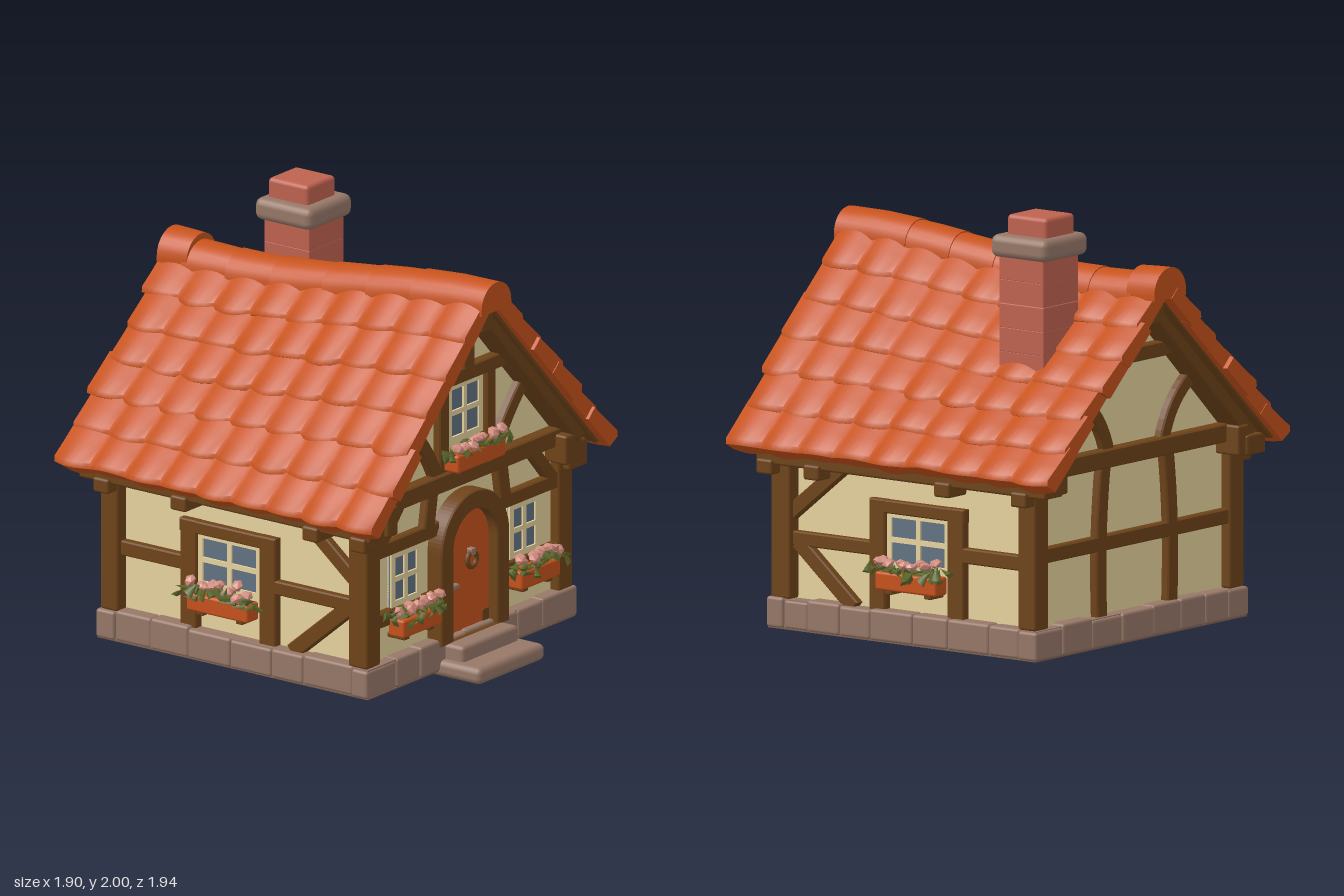
import * as THREE from 'three';
import { toCreasedNormals } from 'three/addons/utils/BufferGeometryUtils.js';
import { RoundedBoxGeometry } from 'three/addons/geometries/RoundedBoxGeometry.js';

let seed = 7;
const rnd = (a, b) => {
  seed = (seed * 16807) % 2147483647;
  return a + (b - a) * (seed / 2147483647);
};

const mats = {};
const colours = {
  terracotta: 0xc6521b, plaster: 0xfbe5ab, wood: 0x6e4319, stone: 0x967767, brick: 0xbe624f,
  glass: 0x627382, windowFrame: 0xf2dda6, leaf: 0x5f6a2c, flower: 0xd28c7e, underside: 0x7b6051,
};

function add(parent, name, geo, mat, x = 0, y = 0, z = 0) {
  const m = new THREE.Mesh(geo, mats[mat]);
  m.name = name;
  m.position.set(x, y, z);
  parent.add(m);
  return m;
}

// Softly rounded block given by its extents
function block(parent, name, mat, x0, x1, y0, y1, z0, z1, r = 0.012) {
  const geo = new RoundedBoxGeometry(x1 - x0, y1 - y0, z1 - z0, 2, r);
  return add(parent, name, geo, mat, (x0 + x1) / 2, (y0 + y1) / 2, (z0 + z1) / 2);
}

// Timber lying on a wall; three points make it curved
function beam(face, name, pts, w, d = 0.04) {
  const v = pts.map(p => new THREE.Vector2(...p));
  const curve = v.length === 3 ? new THREE.QuadraticBezierCurve(...v) : new THREE.LineCurve(...v);
  const n = v.length === 3 ? 8 : 1, a = [], b = [];
  for (let i = 0; i <= n; i++) {
    const p = curve.getPoint(i / n), t = curve.getTangent(i / n);
    const o = new THREE.Vector2(-t.y, t.x).multiplyScalar(w / 2 - 0.006);
    a.push(p.clone().add(o));
    b.unshift(p.clone().sub(o));
  }
  const geo = new THREE.ExtrudeGeometry(new THREE.Shape([...a, ...b]),
    { depth: d + 0.01, bevelThickness: 0.008, bevelSize: 0.006, bevelSegments: 1 });
  return add(face, name, geo, 'wood', 0, 0, -0.018);
}

// Skin a list of equal closed loops and cap the ends
function loft(loops) {
  const pos = [], k = loops[0].length;
  const tri = (...p) => p.forEach(q => pos.push(q.x, q.y, q.z));
  const first = loops[0], last = loops[loops.length - 1];
  for (let i = 0; i < loops.length - 1; i++) for (let j = 0; j < k; j++) {
    const a = loops[i][j], b = loops[i][(j + 1) % k], c = loops[i + 1][(j + 1) % k], d = loops[i + 1][j];
    tri(a, b, d);
    tri(b, c, d);
  }
  for (let j = 1; j < k - 1; j++) {
    tri(first[0], first[j + 1], first[j]);
    tri(last[0], last[j], last[j + 1]);
  }
  const geo = new THREE.BufferGeometry();
  geo.setAttribute('position', new THREE.Float32BufferAttribute(pos, 3));
  return toCreasedNormals(geo, 0.85);
}

// Sagging roof plane
const sag = z => 0.13 * Math.sin(Math.PI / 2 * Math.min(1, Math.max(0, (0.88 - z) / 1.47))) ** 2;
const roofY = (x, z) => 1.866 - 1.06 * x - sag(z) * (1 - Math.max(0, x - 0.1) / 0.83);

// One course of the roof; off = normal offsets of upper top, lower top, lower bottom, upper bottom
function roofCourse(parent, name, mat, side, xl, xu, z0, z1, off, bump) {
  const cols = 9, sub = 6, loops = [];
  let jut = 0, lift = 0;
  for (let i = 0; i <= cols * sub; i++) {
    if (i % sub === 0) { jut = rnd(0.1, 1); lift = rnd(0.7, 1.2); }
    const z = z0 + (z1 - z0) * i / (cols * sub);
    const s = Math.sin(Math.PI * (i % sub) / sub);
    const lo = xl + bump * (jut * s - 0.4);
    const at = (x, o) => new THREE.Vector3(side * (x + 0.727 * o), roofY(x, z) + 0.686 * o, z);
    const h = bump * lift * s;
    const loop = [at(xu, off[0] + h * 0.7), at((lo + xu) / 2, (off[0] + off[1]) / 2 + h),
      at(lo - 0.016, off[1] + h), at(lo, off[1] - 0.018 + h), at(lo - 0.012, off[2]), at(xu, off[3])];
    loops.push(side > 0 ? loop : loop.reverse());
  }
  add(parent, name, loft(loops), mat);
}

// Window with four panes
function casement(face, x, y, w, h) {
  const g = new THREE.Group();
  g.name = 'window';
  g.position.set(x, y, 0);
  face.add(g);
  add(g, 'glass', new THREE.BoxGeometry(w, h, 0.008), 'glass', 0, 0, 0.01);
  const bar = (bx, by, bw, bh) => add(g, 'windowBar', new THREE.BoxGeometry(bw, bh, 0.024), 'windowFrame', bx, by, 0.012);
  for (const s of [-1, 1]) {
    bar(s * (w / 2 - 0.014), 0, 0.028, h);
    bar(0, s * (h / 2 - 0.014), w, 0.028);
  }
  bar(0, 0, 0.024, h);
  bar(0, 0, w, 0.024);
}

// Planter with leaves and blossoms
function flowerBox(face, x, y, w) {
  const g = new THREE.Group();
  g.name = 'flowerBox';
  g.position.set(x, y, 0);
  face.add(g);
  block(g, 'planter', 'terracotta', -w / 2, w / 2, -0.04, 0.045, 0.03, 0.12);
  for (const s of [-1, 1]) block(g, 'bracket', 'wood', s * w * 0.32 - 0.02, s * w * 0.32 + 0.02, -0.06, -0.035, 0, 0.1, 0.006);
  for (let i = 0; i < 34; i++) {
    const leaf = add(g, 'leaf', new THREE.ConeGeometry(0.028, 0.07, 4), 'leaf',
      (i / 33 - 0.5) * (w + 0.05), rnd(0.03, 0.075), rnd(0.06, 0.14));
    leaf.rotation.set(rnd(-0.7, 1.9), rnd(-0.5, 0.5), rnd(-1.8, 1.8));
    leaf.scale.z = 0.45;
  }
  for (let i = 0; i < 9; i++) {
    const f = add(g, 'blossom', new THREE.IcosahedronGeometry(0.031, 0), 'flower',
      (i / 8 - 0.5) * w * 0.92, rnd(0.075, 0.115), rnd(0.07, 0.14));
    f.rotation.set(rnd(-0.4, 0.9), rnd(0, 3), rnd(-0.4, 0.4));
    f.scale.y = 0.65;
  }
}

function archShape(r, y0, spring) {
  const s = new THREE.Shape();
  s.moveTo(-r, y0);
  s.lineTo(r, y0);
  s.lineTo(r, spring);
  s.absarc(0, spring, r, 0, Math.PI, false);
  s.closePath();
  return s;
}

export function createModel() {
  seed = 7;
  for (const k in colours) {
    mats[k] = new THREE.MeshStandardMaterial({ color: colours[k] });
    mats[k].name = k;
  }
  const house = new THREE.Group();
  house.name = 'cottage';
  const wall = (name, x, z, ry) => {
    const g = new THREE.Group();
    g.name = name;
    g.position.set(x, 0, z);
    g.rotation.y = ry;
    house.add(g);
    return g;
  };

  // Stone footing, ringed with uneven blocks
  add(house, 'footing', new THREE.BoxGeometry(1.55, 0.13, 1.53), 'stone', 0, 0.1, -0.03);
  add(house, 'footingUnderside', new THREE.BoxGeometry(1.56, 0.006, 1.54), 'underside', 0, 0.029, -0.03);
  for (const s of [-1, 1]) {
    for (let x = -0.79; x < 0.78;) {
      const e = x + 0.3 > 0.79 ? 0.79 : x + rnd(0.15, 0.25), o = rnd(0, 0.01);
      block(house, 'footingStone', 'stone', x, e, 0.03, rnd(0.16, 0.178), s > 0 ? 0.65 : -0.815 + o, s > 0 ? 0.75 - o : -0.7, 0.014);
      x = e;
    }
    for (let z = -0.7; z < 0.64;) {
      const e = z + 0.3 > 0.65 ? 0.65 : z + rnd(0.15, 0.25), o = rnd(0, 0.01);
      block(house, 'footingStone', 'stone', s > 0 ? 0.68 : -0.79 + o, s > 0 ? 0.79 - o : -0.68, 0.03, rnd(0.16, 0.178), z, e, 0.014);
      z = e;
    }
  }
  // Door steps
  block(house, 'lowerStep', 'stone', -0.25, 0.25, 0, 0.08, 0.65, 0.975, 0.03);
  block(house, 'upperStep', 'stone', -0.21, 0.21, 0.06, 0.152, 0.68, 0.85, 0.02);

  // Plastered body with gables
  const body = new THREE.Shape([[-0.71, 0.12], [0.71, 0.12], [0.71, 0.97], [0, 1.66], [-0.71, 0.97]].map(p => new THREE.Vector2(...p)));
  add(house, 'plasterWalls', new THREE.ExtrudeGeometry(body, { depth: 1.42, bevelEnabled: false }), 'plaster', 0, 0, -0.74);

  // Corner posts, eave plates and purlin ends
  for (const s of [-1, 1]) {
    const span = (name, a, b, ...r) => block(house, name, 'wood', s > 0 ? a : -b, s > 0 ? b : -a, ...r);
    span('cornerPost', 0.67, 0.775, 0.165, 0.86, 0.62, 0.73);
    span('cornerPost', 0.67, 0.775, 0.165, 0.86, -0.79, -0.69);
    span('eavePlate', 0.68, 0.82, 0.785, 0.88, -0.88, 0.78);
    for (const z of [0.72, 0.45, -0.3, -0.74]) span('eaveBracket', 0.7, 0.84, 0.74, 0.81, z - 0.045, z + 0.045);
    span('purlinEnd', 0.63, 0.71, 0.79, 0.93, 0.6, 0.8);
    span('purlinEnd', 0.63, 0.71, 0.79, 0.93, -0.87, -0.7);
  }
  block(house, 'ridgePurlin', 'wood', -0.045, 0.045, 1.6, 1.73, 0.5, 0.83);
  block(house, 'ridgePurlin', 'wood', -0.045, 0.045, 1.49, 1.61, -0.9, -0.6);

  // Front timber framing
  const front = wall('frontWall', 0, 0.68, 0);
  beam(front, 'tieBeam', [[-0.7, 0.91], [0.7, 0.91]], 0.085, 0.06);
  beam(front, 'collarBeam', [[-0.27, 1.385], [0.27, 1.385]], 0.07, 0.05);
  beam(front, 'kingPost', [[0, 1.4], [0, 1.7]], 0.08, 0.05);
  for (const s of [-1, 1]) {
    beam(front, 'rakeBeam', [[s * 0.76, 0.905], [0, 1.715]], 0.085, 0.12);
    beam(front, 'windowPost', [[s * 0.175, 0.94], [s * 0.175, 1.36]], 0.07);
    beam(front, 'gableBrace', [[s * 0.22, 0.94], [s * 0.28, 1.08], [s * 0.42, 1.22]], 0.07);
    beam(front, 'upperRail', [[s * 0.22, 0.695], [s * 0.7, 0.695]], 0.07);
    beam(front, 'lowerRail', [[s * 0.22, 0.365], [s * 0.7, 0.365]], 0.07);
    beam(front, 'cornerBrace', [[s * 0.66, 0.7], [s * 0.5, 0.88]], 0.065);
    beam(front, 'stud', [[s * 0.29, 0.7], [s * 0.26, 0.88]], 0.08);
    casement(front, s * 0.445, 0.53, 0.22, 0.26);
    flowerBox(front, s * 0.445, 0.32, 0.29);
  }
  casement(front, 0, 1.21, 0.26, 0.28);
  flowerBox(front, 0, 1.0, 0.36);

  // Arched door and surround
  const surround = archShape(0.25, 0.15, 0.575);
  surround.holes.push(archShape(0.17, 0.151, 0.575));
  add(front, 'doorSurround', new THREE.ExtrudeGeometry(surround, { depth: 0.075, bevelThickness: 0.008, bevelSize: 0.005, bevelSegments: 1, curveSegments: 20 }), 'wood');
  add(front, 'door', new THREE.ExtrudeGeometry(archShape(0.175, 0.15, 0.575), { depth: 0.03, bevelEnabled: false, curveSegments: 20 }), 'terracotta');
  for (const x of [-0.06, 0.06]) add(front, 'plankGap', new THREE.BoxGeometry(0.003, 0.55, 0.003), 'wood', x, 0.43, 0.031);
  add(front, 'knocker', new THREE.TorusGeometry(0.035, 0.012, 8, 18), 'wood', 0.02, 0.49, 0.045);
  block(front, 'knockerPlate', 'stone', 0.003, 0.037, 0.51, 0.545, 0.025, 0.058, 0.006);
  block(front, 'handlePlate', 'stone', -0.16, -0.12, 0.33, 0.43, 0.025, 0.045, 0.006);
  block(front, 'handle', 'stone', -0.15, -0.1, 0.385, 0.41, 0.035, 0.07, 0.008);
  block(front, 'kickPlate', 'wood', 0.115, 0.165, 0.165, 0.225, 0.026, 0.036, 0.004);

  // Back timber framing
  const back = wall('backWall', 0, -0.74, Math.PI);
  beam(back, 'tieBeam', [[-0.7, 0.89], [0.7, 0.89]], 0.085, 0.06);
  beam(back, 'middleRail', [[-0.7, 0.5], [0.7, 0.5]], 0.07);
  beam(back, 'collarBeam', [[-0.3, 1.34], [0.3, 1.34]], 0.07, 0.05);
  for (const s of [-1, 1]) {
    beam(back, 'rakeBeam', [[s * 0.76, 0.885], [0, 1.6]], 0.095, 0.12);
    beam(back, 'stud', [[s * 0.26, 0.16], [s * 0.28, 0.55], [s * 0.23, 0.88]], 0.075);
    beam(back, 'gableBrace', [[s * 0.2, 0.9], [s * 0.25, 1.1], [s * 0.44, 1.2]], 0.07);
  }

  // Side timber framing; u runs towards the back
  for (const s of [-1, 1]) {
    const side = wall(s > 0 ? 'leftWall' : 'rightWall', s * 0.71, 0, s * Math.PI / 2);
    const b = (name, u0, y0, u1, y1, w) => beam(side, name, [[s * u0, y0], [s * u1, y1]], w);
    b('frontRail', -0.65, 0.445, -0.15, 0.445, 0.065);
    b('backRail', 0.33, 0.465, 0.72, 0.465, 0.07);
    b('upperBrace', -0.64, 0.56, -0.32, 0.82, 0.07);
    b('lowerBrace', -0.6, 0.43, -0.28, 0.16, 0.075);
    b('windowPost', -0.14, 0.16, -0.14, 0.67, 0.095);
    b('windowPost', 0.31, 0.16, 0.31, 0.67, 0.095);
    b('windowHead', -0.18, 0.645, 0.355, 0.645, 0.06);
    casement(side, s * 0.085, 0.495, 0.36, 0.26);
    flowerBox(side, s * 0.085, 0.315, 0.35);
  }

  // Roof boarding and tile courses
  const roof = new THREE.Group();
  roof.name = 'roof';
  house.add(roof);
  for (const s of [-1, 1]) {
    roofCourse(roof, 'roofBoards', 'wood', s, 0.9, 0.02, 0.83, -0.91, [-0.05, -0.05, -0.095, -0.095], 0);
    for (let i = 0; i < 6; i++) {
      const xl = 0.935 - i * 0.138;
      roofCourse(roof, 'tileCourse', 'terracotta', s, xl, Math.max(0.03, xl - 0.18),
        0.87 + rnd(-0.015, 0.015), -0.955 + rnd(-0.015, 0.015), [-0.014, 0.004, -0.08, -0.08], 0.021);
    }
  }
  // Overlapping half-round ridge caps
  const ends = [0.88, 0.5, 0.25, 0, -0.3, -0.55, -0.8, -0.965];
  for (let i = 0; i < ends.length - 1; i++) {
    const ring = (z, r) => {
      const y = 1.735 - sag(z) + (i === 6 ? 0.035 : 0), pts = [new THREE.Vector3(-r, y - 0.025, z)];
      for (let k = 0; k <= 12; k++) {
        const a = Math.PI * (1 - k / 12);
        pts.push(new THREE.Vector3(r * Math.cos(a), y + r * Math.sin(a), z));
      }
      return [...pts, new THREE.Vector3(r, y - 0.025, z)];
    };
    const z0 = ends[i], z1 = ends[i + 1] - (i < 6 ? 0.03 : 0);
    add(roof, 'ridgeCap', loft([ring(z0, 0.112), ring((z0 + z1) / 2, 0.116), ring(z1, 0.118)]), 'terracotta');
  }

  // Chimney of slightly shifted courses, stone collar and pot
  for (let i = 0; i < 6; i++) {
    const o = rnd(-0.003, 0.003), y = 1.15 + i * 0.11;
    block(house, 'chimneyCourse', 'brick', 0.205 + o, 0.465 + o, y, y + 0.114, -0.598 - o, -0.342 - o, 0.005);
  }
  block(house, 'chimneyCollar', 'stone', 0.17, 0.5, 1.805, 1.91, -0.635, -0.31, 0.035);
  block(house, 'chimneyTop', 'brick', 0.225, 0.44, 1.88, 2.0, -0.595, -0.365, 0.02);
  return house;
}
